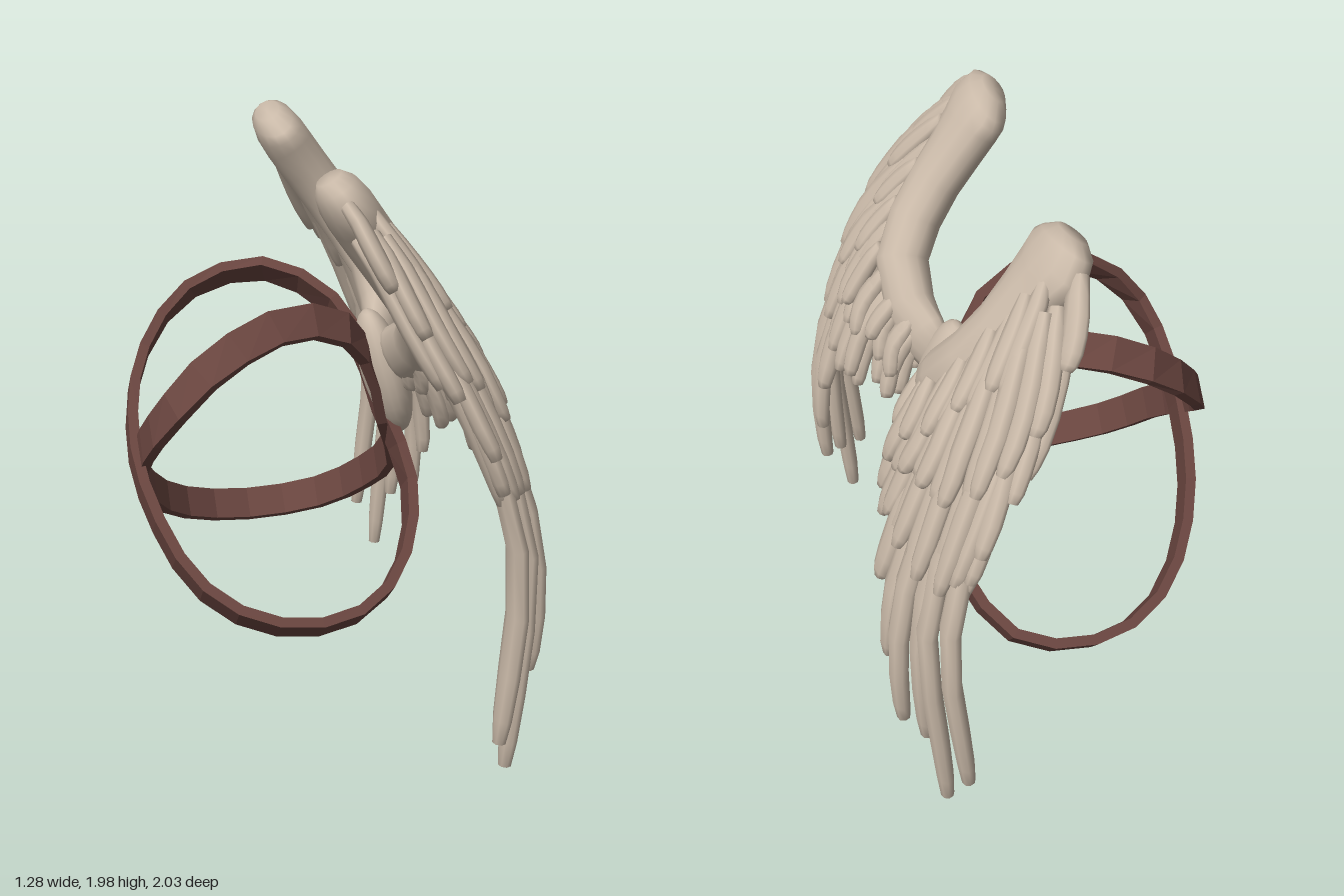
import * as THREE from 'three';

const feather = new THREE.MeshStandardMaterial({ color: 0xc9b9a8 });
feather.name = 'pale feather';
const leather = new THREE.MeshStandardMaterial({ color: 0x69453f, flatShading: true });
leather.name = 'brown leather';

const V = (x, y, z) => new THREE.Vector3(x, y, z);
let seed = 7;
const rand = () => ((seed = (seed * 16807) % 2147483647) / 2147483647) - 0.5;

// Skin a list of rings; either capped at both ends or joined into a loop
function loft(rings, loop = false) {
  const n = rings[0].length, m = rings.length, pos = [], idx = [];
  rings.forEach(r => r.forEach(p => pos.push(p.x, p.y, p.z)));
  for (let j = 0; j < (loop ? m : m - 1); j++) {
    for (let i = 0; i < n; i++) {
      const k = (i + 1) % n, a = j * n, b = ((j + 1) % m) * n;
      idx.push(a + i, a + k, b + i, a + k, b + k, b + i);
    }
  }
  if (!loop) {
    for (const j of [0, m - 1]) {
      const c = V(0, 0, 0);
      rings[j].forEach(p => c.addScaledVector(p, 1 / n));
      const ci = pos.length / 3;
      pos.push(c.x, c.y, c.z);
      for (let i = 0; i < n; i++) {
        const a = j * n + i, b = j * n + (i + 1) % n;
        if (j) idx.push(a, b, ci); else idx.push(b, a, ci);
      }
    }
  }
  const g = new THREE.BufferGeometry();
  g.setAttribute('position', new THREE.Float32BufferAttribute(pos, 3));
  g.setIndex(idx);
  g.computeVertexNormals();
  return g;
}

// Domed sheet on which the whole wing lies: x from height and span
const { clamp, lerp, smoothstep } = THREE.MathUtils;
const sheetX = [0.575, 0.59, 0.61, 0.615, 0.585, 0.52, 0.435, 0.325, 0.185, 0.042, -0.085];
function bend(y, z) {
  const f = clamp(y / 0.2, 0, 9.99), i = Math.floor(f);
  const curl = lerp(0.17, 0.1, smoothstep(y, 0.4, 1.1));
  return lerp(sheetX[i], sheetX[i + 1], f - i)
    - 0.16 * (1 - smoothstep(z, 0, 0.42)) - curl * smoothstep(z, 0.65, 1.0);
}

// Flattened rod on the sheet; stations are [z, y, halfWidth, halfThickness, offset]
function bladeGeometry(stations, side, sides) {
  const c = stations.map(([z, y, , , o]) => V(bend(y, z) + o, y, z * side));
  const rings = stations.map(([z, y, w, h], j) => {
    const t = c[Math.min(j + 1, c.length - 1)].clone().sub(c[Math.max(j - 1, 0)]).normalize();
    const slope = (bend(y + 0.1, z) - bend(y - 0.1, z)) / 0.2;
    const s = V(1, -slope, 0).cross(t).normalize();
    const n = t.clone().cross(s);
    return Array.from({ length: sides }, (_, i) => {
      const a = (i / sides) * Math.PI * 2;
      return c[j].clone().addScaledVector(s, w * Math.cos(a)).addScaledVector(n, h * Math.sin(a));
    });
  });
  return loft(rings);
}

const shape = [[0, 0.6], [0.2, 0.9], [0.4, 1], [0.6, 1], [0.78, 0.95], [0.92, 0.75], [1, 0.38]];
const curve2 = pts => new THREE.SplineCurve(pts.map(p => new THREE.Vector2(...p)));

// A row of feathers whose roots and tips follow two curves of [z, y]
function featherRow(group, name, side, { roots, tips, n, w, h, off, bow = 0.03, vary = 0.06 }) {
  const a = curve2(roots), b = curve2(tips);
  for (let k = 0; k < n; k++) {
    const u = k / (n - 1), p = a.getPoint(u), q = b.getPoint(u);
    q.y += rand() * vary;
    const lift = off + (k % 2 ? 0.009 : -0.009);
    const stations = shape.map(([t, f]) => [
      p.x + (q.x - p.x) * t + bow * Math.sin(Math.PI * t),
      p.y + (q.y - p.y) * t, w * f, h * (0.5 + f / 2), lift]);
    const m = new THREE.Mesh(bladeGeometry(stations, side, 8), feather);
    m.name = name;
    group.add(m);
  }
}

const rows = {
  flightFeather: {
    roots: [[0.86, 1.3], [0.8, 1.3], [0.75, 1.3], [0.69, 1.28], [0.61, 1.25], [0.5, 1.2]],
    tips: [[0.955, 0.15], [0.865, 0.0], [0.8, 0.25], [0.73, 0.28], [0.635, 0.5], [0.535, 0.76]],
    n: 6, w: 0.064, h: 0.034, off: 0, bow: 0.028, vary: 0 },
  outerEdgeFeather: {
    roots: [[0.64, 1.9], [0.67, 1.78], [0.73, 1.65], [0.78, 1.55]],
    tips: [[0.815, 1.69], [0.905, 1.47], [0.965, 1.22], [0.95, 1.03]],
    n: 5, w: 0.056, h: 0.03, off: 0.0, bow: 0.022 },
  longCovert: {
    roots: [[0.77, 1.6], [0.65, 1.6], [0.52, 1.45], [0.36, 1.34], [0.13, 1.25]],
    tips: [[0.92, 1.0], [0.8, 0.98], [0.6, 0.99], [0.38, 0.93], [0.13, 1.0]],
    n: 12, w: 0.055, h: 0.03, off: 0.022 },
  middleCovert: {
    roots: [[0.66, 1.8], [0.62, 1.65], [0.53, 1.5], [0.4, 1.38], [0.14, 1.27]],
    tips: [[0.9, 1.4], [0.8, 1.22], [0.62, 1.19], [0.4, 1.12], [0.12, 1.09]],
    n: 12, w: 0.052, h: 0.028, off: 0.048 },
  smallCovert: {
    roots: [[0.58, 1.86], [0.53, 1.7], [0.49, 1.55], [0.37, 1.4], [0.14, 1.28]],
    tips: [[0.74, 1.62], [0.64, 1.48], [0.55, 1.32], [0.4, 1.2], [0.16, 1.14]],
    n: 11, w: 0.046, h: 0.028, off: 0.064, bow: 0.01 },
};

function wing(side) {
  const g = new THREE.Group();
  g.name = side > 0 ? 'frontWing' : 'rearWing';
  for (const [name, r] of Object.entries(rows)) featherRow(g, name, side, r);
  // Coverts repeated on the inner face
  for (const name of ['longCovert', 'middleCovert']) {
    featherRow(g, 'inner' + name[0].toUpperCase() + name.slice(1), side, { ...rows[name], off: -rows[name].off * 0.8 });
  }
  // Smooth leading arm, from the back pad up to the broad slanting wrist
  const arm = [
    [0.06, 1.19, 0.09, 0.04, -0.02], [0.13, 1.22, 0.105, 0.06, -0.01], [0.23, 1.285, 0.105, 0.082, 0],
    [0.35, 1.395, 0.105, 0.09, 0], [0.43, 1.51, 0.112, 0.09, 0], [0.465, 1.63, 0.115, 0.088, 0],
    [0.475, 1.74, 0.13, 0.088, 0], [0.485, 1.82, 0.155, 0.088, 0], [0.495, 1.875, 0.18, 0.085, 0],
    [0.485, 1.92, 0.15, 0.072, 0], [0.48, 1.95, 0.08, 0.045, 0]];
  const m = new THREE.Mesh(bladeGeometry(arm, side, 14), feather);
  m.name = 'wingArm';
  g.add(m);
  return g;
}

// Leather band: over one shoulder, across the chest, under the other arm
function strap(name, points, widthDir) {
  const path = new THREE.CatmullRomCurve3(points.map(p => V(...p)), true);
  const N = 26, rings = [];
  for (let j = 0; j < N; j++) {
    const c = path.getPointAt(j / N), t = path.getTangentAt(j / N);
    const s = widthDir.clone().addScaledVector(t, -widthDir.dot(t)).normalize();
    const n = t.clone().cross(s);
    rings.push([[1, 1], [-1, 1], [-1, -1], [1, -1]].map(([a, b]) =>
      c.clone().addScaledVector(s, a * 0.06).addScaledVector(n, b * 0.018)));
  }
  const m = new THREE.Mesh(loft(rings, true), leather);
  m.name = name;
  return m;
}

export function createModel() {
  const model = new THREE.Group();
  model.name = 'wingHarness';
  model.add(wing(1), wing(-1));

  // Rounded pad joining the wings
  const pad = new THREE.Mesh(new THREE.SphereGeometry(1, 20, 14), feather);
  pad.name = 'backPad';
  pad.scale.set(0.08, 0.24, 0.135);
  pad.position.set(0.265, 1.11, 0);
  pad.rotation.z = 0.28;
  model.add(pad);

  // Two crossing harness straps
  model.add(strap('strapOverRearShoulder', [
    [0.26, 0.96, -0.01], [0.19, 1.2, -0.1], [0.08, 1.34, -0.22], [-0.12, 1.41, -0.34],
    [-0.38, 1.32, -0.39], [-0.56, 1.12, -0.29], [-0.63, 0.9, -0.04], [-0.59, 0.71, 0.19],
    [-0.48, 0.53, 0.36], [-0.32, 0.43, 0.46], [-0.1, 0.39, 0.5], [0.12, 0.43, 0.45],
    [0.27, 0.56, 0.31], [0.325, 0.74, 0.13]], V(0, 0.68, 0.73)));
  model.add(strap('strapOverFrontShoulder', [
    [0.25, 0.96, 0.01], [0.18, 1.2, 0.08], [0.07, 1.34, 0.16], [-0.12, 1.39, 0.22],
    [-0.38, 1.29, 0.28], [-0.55, 1.1, 0.25], [-0.605, 0.88, 0.02], [-0.57, 0.66, -0.26],
    [-0.46, 0.48, -0.46], [-0.3, 0.38, -0.58], [-0.08, 0.345, -0.62], [0.15, 0.39, -0.57],
    [0.29, 0.54, -0.39], [0.33, 0.74, -0.15]], V(0, 0.75, -0.66)));
  return model;
}
